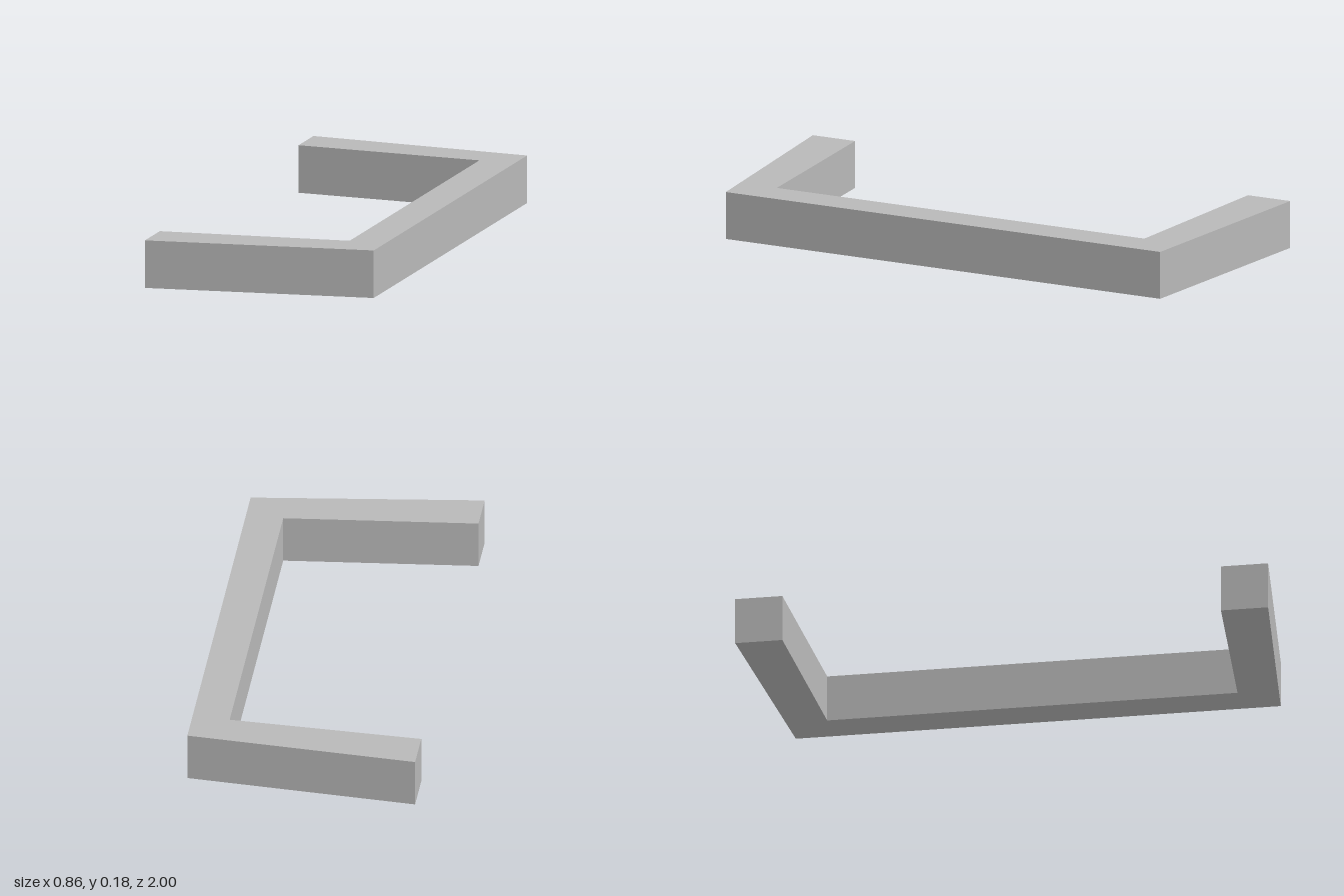
import * as THREE from 'three';

export function createModel() {
  const group = new THREE.Group();
  group.name = 'bracket';
  const grey = new THREE.MeshStandardMaterial({ color: 0xb8b8b8 });
  grey.name = 'grey';

  // Half of the plan outline (x, z), from the inner corner round to the outer corner
  const half = [[0.29, 0.77], [-0.433, 0.823], [-0.433, 1], [0.43, 0.91]];
  const mirrored = half.map(([x, z]) => [x, -z]).reverse();
  const outline = [...half, ...mirrored].map(([x, z]) => new THREE.Vector2(x, -z));

  // C-shaped bar with two splayed arms, extruded upwards
  const geometry = new THREE.ExtrudeGeometry(new THREE.Shape(outline), {
    depth: 0.18,
    bevelEnabled: false,
  });
  geometry.rotateX(-Math.PI / 2);

  const bar = new THREE.Mesh(geometry, grey);
  bar.name = 'bracketBar';
  group.add(bar);
  return group;
}
